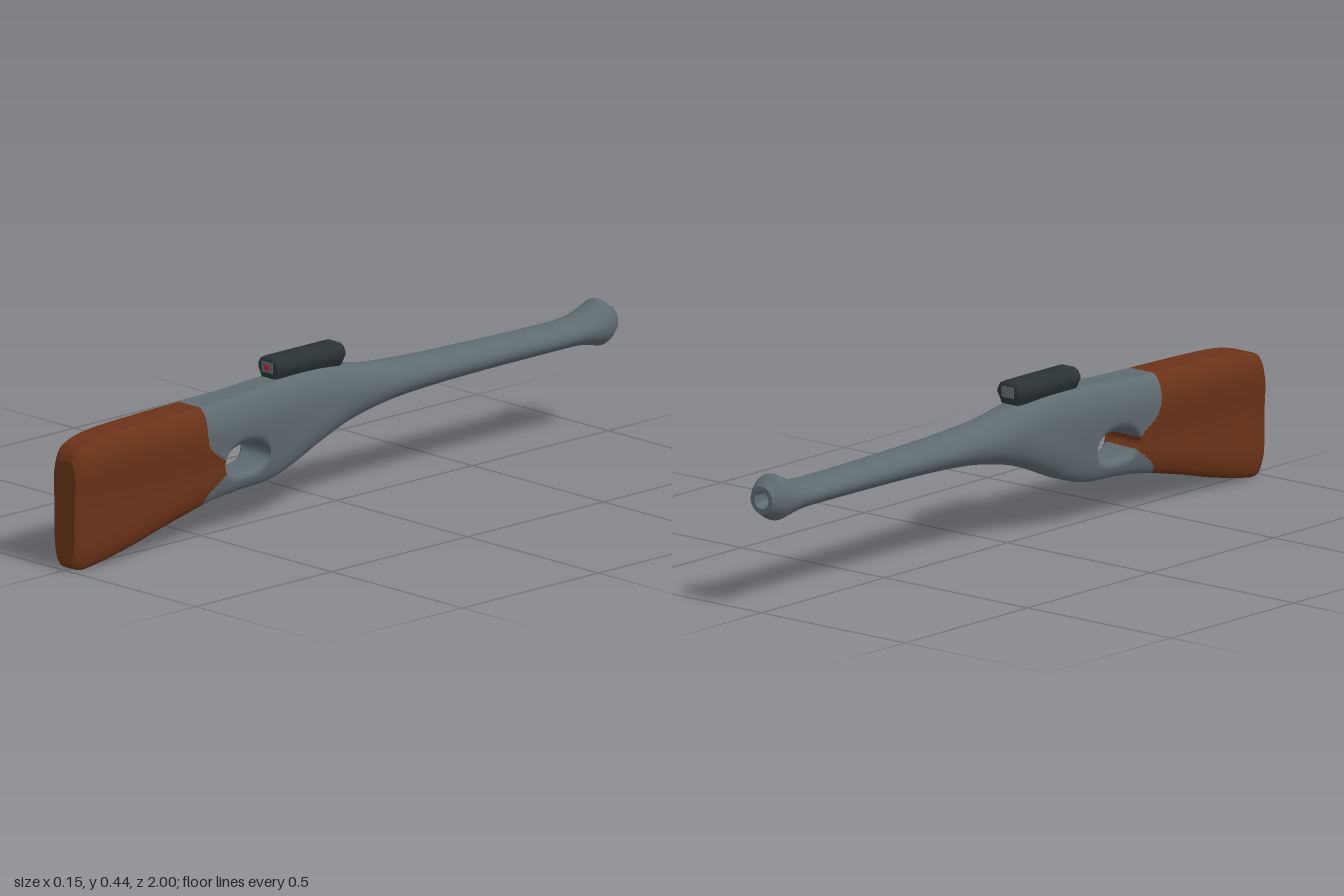
import * as THREE from 'three';
import { mergeGeometries, toCreasedNormals } from 'three/addons/utils/BufferGeometryUtils.js';

// Smooth curve through [z, value] pairs
function track(pts) {
  const n = pts.length;
  const slope = (i) => {
    const a = pts[Math.max(i - 1, 0)], b = pts[Math.min(i + 1, n - 1)];
    return (b[1] - a[1]) / (b[0] - a[0]);
  };
  return (z) => {
    let i = 0;
    while (i < n - 2 && z > pts[i + 1][0]) i++;
    const [z0, v0] = pts[i], [z1, v1] = pts[i + 1], h = z1 - z0;
    const t = Math.min(Math.max((z - z0) / h, 0), 1), t2 = t * t, t3 = t2 * t;
    return (2 * t3 - 3 * t2 + 1) * v0 + (t3 - 2 * t2 + t) * h * slope(i)
      + (3 * t2 - 2 * t3) * v1 + (t3 - t2) * h * slope(i + 1);
  };
}

const topY = track([[-1, 0.345], [-0.985, 0.355], [-0.957, 0.372], [-0.93, 0.36], [-0.88, 0.342], [-0.8, 0.336],
  [-0.4, 0.343], [-0.2, 0.352], [-0.1, 0.36], [0, 0.377], [0.1, 0.387], [0.25, 0.384], [0.4, 0.373],
  [0.55, 0.368], [0.8, 0.362], [0.9, 0.355], [0.97, 0.338], [0.99, 0.322], [1, 0.30]]);
const bottomY = track([[-1, 0.27], [-0.985, 0.26], [-0.957, 0.245], [-0.93, 0.25], [-0.88, 0.26], [-0.8, 0.262],
  [-0.4, 0.258], [-0.2, 0.248], [-0.1, 0.235], [0, 0.213], [0.1, 0.178], [0.2, 0.137], [0.28, 0.116], [0.4, 0.11],
  [0.5, 0.1], [0.65, 0.068], [0.8, 0.03], [0.95, 0.001], [0.985, 0.004], [1, 0.02]]);
const halfWidth = track([[-1, 0.0375], [-0.97, 0.058], [-0.94, 0.061], [-0.8, 0.057], [-0.5, 0.058], [-0.2, 0.062],
  [0, 0.064], [0.3, 0.068], [0.55, 0.074], [0.7, 0.073], [0.9, 0.066], [0.97, 0.057], [1, 0.045]]);

const smooth = THREE.MathUtils.smoothstep;
const HOLE = { z0: 0.297, z1: 0.468, y: 0.2, h: 0.037 };
const holeHalf = (z) => {
  const t = Math.abs((2 * z - HOLE.z0 - HOLE.z1) / (HOLE.z1 - HOLE.z0));
  return t >= 1 ? 0 : HOLE.h * Math.pow(1 - Math.pow(t, 2.1), 1 / 2.1);
};
// Rounding factor at distance d from an edge; "flat" is the share kept at the edge
const edge = (d, r, flat) => {
  const t = r < 1e-5 ? 1 : Math.min(Math.max(d / r, 0), 1);
  return flat + (1 - flat) * Math.sqrt(1 - (1 - t) * (1 - t));
};

const M = 40;
// Cross-section at z: right side going up, then left side going down
function section(z, part) {
  const bot = bottomY(z), top = topY(z), hole = holeHalf(z);
  const y0 = part === 'upper' ? HOLE.y + hole : bot;
  const y1 = part === 'lower' ? HOLE.y - hole : top;
  const r = Math.min(0.08, (top - bot) / 2), flat = 0.5 * smooth(z, -0.3, 0.5);
  const innerFlat = 1 - 0.5 * hole / HOLE.h;
  const side = [];
  for (let i = 0; i <= M; i++) {
    const y = y0 + (y1 - y0) * (0.5 - 0.5 * Math.cos(Math.PI * i / M));
    let x = halfWidth(z) * (1 - 0.16 * smooth(z, 0, 0.3) * (1 - smooth(y, 0.16, 0.31)));
    x *= edge(y - bot, r, flat) * edge(top - y, r, flat);
    if (part === 'upper') x *= edge(y - y0, hole, innerFlat);
    if (part === 'lower') x *= edge(y1 - y, Math.min(hole, 0.025), innerFlat);
    side.push([x, y, z]);
  }
  return [...side, ...side.map(([x, y]) => [-x, y, z]).reverse()];
}

function loft(zs, part) {
  const pos = [], idx = [], n = 2 * (M + 1);
  for (const z of zs) for (const p of section(z, part)) pos.push(...p);
  for (let j = 0; j < zs.length - 1; j++) {
    for (let i = 0; i < n; i++) {
      const a = j * n + i, b = j * n + (i + 1) % n;
      idx.push(a, b, a + n, b, b + n, a + n);
    }
  }
  const g = new THREE.BufferGeometry();
  g.setAttribute('position', new THREE.Float32BufferAttribute(pos, 3));
  g.setIndex(idx);
  g.computeVertexNormals();
  return g;
}

const range = (a, b, n) => Array.from({ length: n + 1 }, (_, i) => a + (b - a) * i / n);
const eased = (a, b, n) => range(0, Math.PI, n).map((t) => a + (b - a) * (0.5 - 0.5 * Math.cos(t)));

// Keep the triangles whose centre passes the test
function pick(g, test) {
  const p = g.attributes.position, old = g.index.array, idx = [];
  for (let i = 0; i < old.length; i += 3) {
    const t = [old[i], old[i + 1], old[i + 2]];
    const y = (p.getY(t[0]) + p.getY(t[1]) + p.getY(t[2])) / 3;
    const z = (p.getZ(t[0]) + p.getZ(t[1]) + p.getZ(t[2])) / 3;
    if (test(y, z)) idx.push(...t);
  }
  const out = g.clone();
  out.setIndex(idx);
  return out;
}

export function createModel() {
  const model = new THREE.Group();
  const add = (name, geometry, color, side = THREE.FrontSide) => {
    const mesh = new THREE.Mesh(geometry, new THREE.MeshStandardMaterial({ color, side }));
    mesh.name = name;
    model.add(mesh);
    return mesh;
  };
  const METAL = 0x5f6b70, WOOD = 0x6b3318, DARK = 0x2b3336;

  // Body: barrel and receiver, two arms round the grip hole, then the stock
  const body = mergeGeometries([
    loft([...range(-1, -0.86, 22), ...range(-0.84, HOLE.z0, 56)], 'full'),
    loft(eased(HOLE.z0, HOLE.z1, 44), 'upper'),
    loft(eased(HOLE.z0, HOLE.z1, 44), 'lower'),
    loft([...range(HOLE.z1, 0.56, 26), ...range(0.58, 0.94, 18), ...eased(0.945, 1, 14)], 'full'),
  ]);
  const isWood = (y, z) => z > 0.542 - 0.09 * Math.exp(-Math.pow((y - 0.19) / 0.05, 2));
  add('barrelAndReceiver', pick(body, (y, z) => !isWood(y, z)), METAL);
  add('stock', pick(body, isWood), WOOD);

  // Flat butt closing the stock
  const rim = section(1, 'full').map(([x, y]) => new THREE.Vector2(x, y));
  const butt = add('buttPlate', new THREE.ShapeGeometry(new THREE.Shape(rim)), WOOD);
  butt.position.z = 1;

  // Muzzle face with its bore
  const boreProfile = [[0, 0.06], [0.02, 0.06], [0.024, 0], [0.038, 0]].map(([r, d]) => new THREE.Vector2(r, d));
  const bore = add('muzzleBore', toCreasedNormals(new THREE.LatheGeometry(boreProfile, 32), 0.6), METAL, THREE.DoubleSide);
  bore.rotation.x = Math.PI / 2;
  bore.position.set(0, 0.3075, -1);

  // Sight housing on top of the receiver
  const half = [[0.02, 0.006], [0.025, 0.016], [0.031, 0.027], [0.031, 0.034], [0.026, 0.043], [0.018, 0.047]];
  const outline = [...half, ...half.map(([x, y]) => [-x, y]).reverse()].map(([x, y]) => new THREE.Vector2(x, y));
  const housing = new THREE.ExtrudeGeometry(new THREE.Shape(outline), {
    depth: 0.224, bevelSize: 0.011, bevelThickness: 0.015, bevelSegments: 4,
  });
  const sight = add('sightHousing', toCreasedNormals(housing, 0.7), DARK);
  sight.position.set(-0.005, 0.382, 0.01);

  // Glass panels at both ends, and the aiming dot
  for (const [name, z] of [['rearSightPanel', 0.248], ['frontSightPanel', -0.004]]) {
    add(name, new THREE.BoxGeometry(0.042, 0.029, 0.006), METAL).position.set(-0.005, 0.413, z);
  }
  const dot = add('aimingDot', new THREE.CylinderGeometry(0.008, 0.008, 0.004, 20), 0xd8102c);
  dot.rotation.x = Math.PI / 2;
  dot.position.set(-0.005, 0.413, 0.251);

  return model;
}
